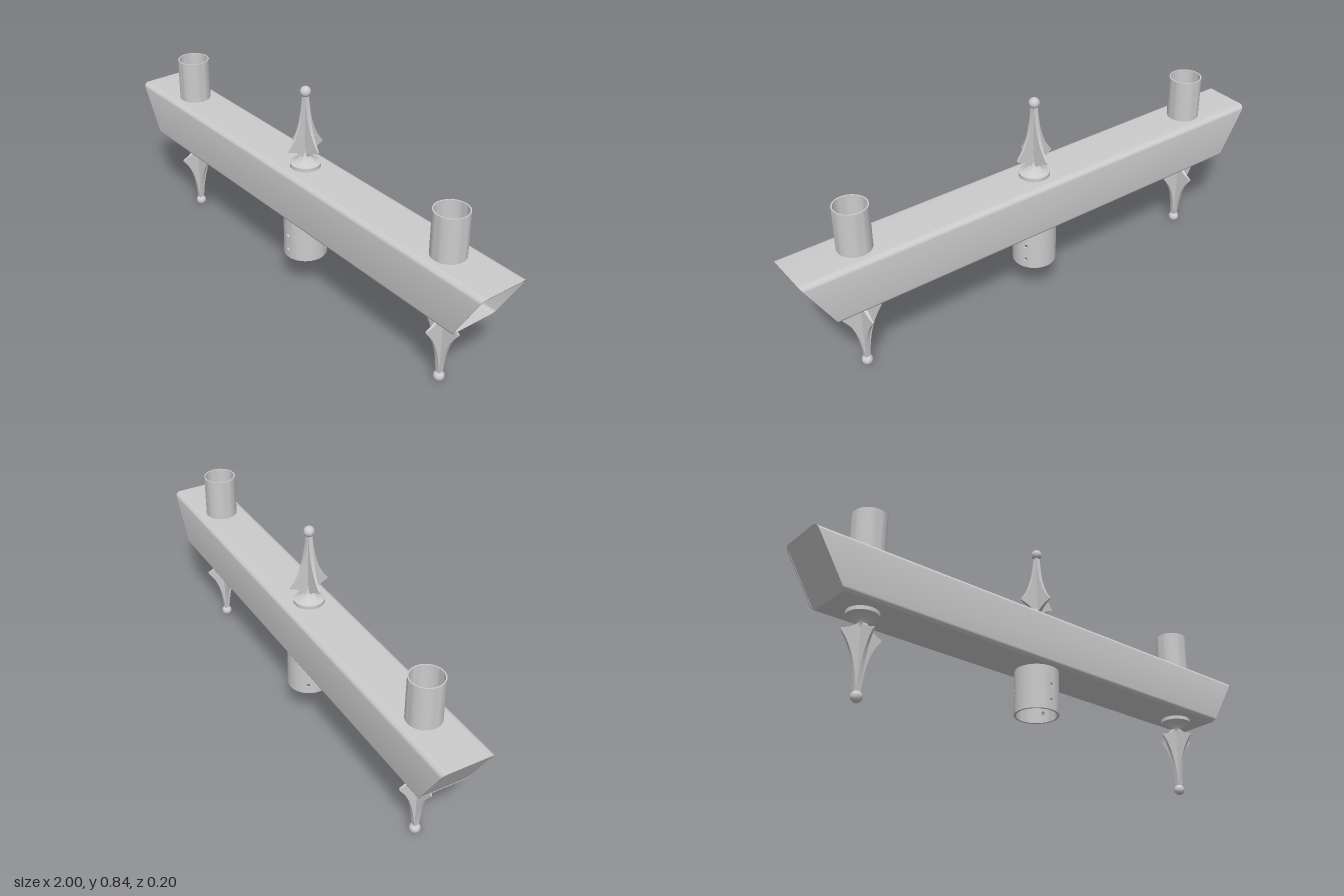
import * as THREE from 'three';
import { toCreasedNormals, mergeGeometries } from 'three/addons/utils/BufferGeometryUtils.js';

const material = new THREE.MeshStandardMaterial({ color: 0xcccccc, side: THREE.DoubleSide });
const TOP = 0.52, BOTTOM = 0.318;

function part(name, geometry, crease = 0.6) {
  const mesh = new THREE.Mesh(toCreasedNormals(geometry, crease), material);
  mesh.name = name;
  return mesh;
}

// Rounded square outline centred on the origin
function roundedSquare(half, r, Type) {
  const s = new Type(), c = half - r, q = Math.PI / 2;
  s.absarc(c, c, r, 0, q);
  s.absarc(-c, c, r, q, 2 * q);
  s.absarc(-c, -c, r, 2 * q, 3 * q);
  s.absarc(c, -c, r, 3 * q, 4 * q);
  s.closePath();
  return s;
}

// Extrude along x, then slant the ends so the underside is shorter
function slantedExtrude(shape, x0, length) {
  const g = new THREE.ExtrudeGeometry(shape, { depth: length, bevelEnabled: false, curveSegments: 6 });
  g.rotateY(Math.PI / 2).translate(x0, (TOP + BOTTOM) / 2, 0);
  const p = g.attributes.position;
  for (let i = 0; i < p.count; i++) {
    p.setX(i, p.getX(i) - Math.sign(p.getX(i)) * (TOP - p.getY(i)) * 0.594);
  }
  g.computeVertexNormals();
  return g;
}

// Closed pipe-wall profile, turned through all or part of a circle
function pipeWall(r, wall, y0, y1, segments, start = 0, sweep = Math.PI * 2) {
  const profile = [[r, y0], [r, y1], [r - wall, y1], [r - wall, y0], [r, y0]];
  return new THREE.LatheGeometry(profile.map(p => new THREE.Vector2(...p)), segments, start, sweep);
}

// Pipe with two screw holes in each of three narrow panels
function drilledPipe(r, wall, y0, y1) {
  const pieces = [], panel = Math.PI / 12, third = Math.PI * 2 / 3;
  for (let k = 0; k < 3; k++) {
    pieces.push(pipeWall(r, wall, y0, y1, 14, k * third + panel / 2, third - panel).toNonIndexed());
    const w = r * panel / 2;
    const shape = new THREE.Shape([[-w, y0], [w, y0], [w, y1], [-w, y1]].map(p => new THREE.Vector2(...p)));
    for (const y of [0.185, 0.245]) {
      shape.holes.push(new THREE.Path().absarc(0, y, 0.0075, 0, Math.PI * 2, true));
    }
    const g = new THREE.ExtrudeGeometry(shape, { depth: wall, bevelEnabled: false, curveSegments: 10 });
    const p = g.attributes.position;
    for (let i = 0; i < p.count; i++) {
      const a = p.getX(i) / r + k * third, d = r - wall + p.getZ(i);
      p.setXYZ(i, d * Math.sin(a), p.getY(i), d * Math.cos(a));
    }
    g.computeVertexNormals();
    pieces.push(g);
  }
  return mergeGeometries(pieces);
}

// One blade of the finial, thick at the core and thin at its outer edge
function bladeGeometry() {
  const s = new THREE.Shape();
  s.moveTo(0, 0.043);
  s.lineTo(0.018, 0.043);
  s.quadraticCurveTo(0.04, 0.066, 0.074, 0.075);
  s.quadraticCurveTo(0.079, 0.08, 0.074, 0.086);
  s.bezierCurveTo(0.034, 0.133, 0.018, 0.19, 0.009, 0.285);
  s.lineTo(0, 0.285);
  s.closePath();
  const g = new THREE.ExtrudeGeometry(s, { depth: 2, bevelEnabled: false, curveSegments: 10 });
  const p = g.attributes.position;
  for (let i = 0; i < p.count; i++) {
    const x = p.getX(i);
    p.setZ(i, (p.getZ(i) - 1) * (0.009 - 0.0065 * Math.min(1, x / 0.077)));
  }
  g.computeVertexNormals();
  return g;
}

// Finial pointing up from y = 0
function finial(name) {
  const group = new THREE.Group();
  group.name = name;
  const profile = [[0, 0], [0.058, 0], [0.058, 0.014], [0.046, 0.018], [0.034, 0.025], [0.025, 0.034],
    [0.018, 0.045], [0.013, 0.06], [0.01, 0.12], [0.009, 0.285]];
  group.add(part('finialBase', new THREE.LatheGeometry(profile.map(p => new THREE.Vector2(...p)), 32)));
  const blade = bladeGeometry();
  for (let i = 0; i < 4; i++) {
    const mesh = part('finialBlade', blade, 0.4);
    mesh.rotation.y = i * Math.PI / 2;
    group.add(mesh);
  }
  const ball = new THREE.Mesh(new THREE.SphereGeometry(0.0205, 24, 16), material);
  ball.name = 'finialBall';
  ball.position.y = 0.2965;
  group.add(ball);
  return group;
}

export function createModel() {
  const model = new THREE.Group();
  model.name = 'crossarmBracket';

  // Hollow square beam with slanted ends, closed at its right end
  const half = (TOP - BOTTOM) / 2, wall = 0.005;
  const section = roundedSquare(half, 0.02, THREE.Shape);
  section.holes.push(roundedSquare(half - wall, 0.016, THREE.Path));
  model.add(part('beam', slantedExtrude(section, -1, 2)));
  model.add(part('endPlate', slantedExtrude(roundedSquare(half - wall, 0.016, THREE.Shape), -0.998, 0.004)));

  // Open sockets above and finials below, near both ends
  for (const side of [1, -1]) {
    const label = side > 0 ? 'left' : 'right';
    const socket = part(label + 'Socket', pipeWall(0.0625, 0.005, TOP - 0.003, 0.688, 40));
    socket.position.x = side * 0.75;
    const drop = finial(label + 'Finial');
    drop.rotation.x = Math.PI;
    drop.position.set(side * 0.75, BOTTOM, 0);
    model.add(socket, drop);
  }

  // Centre finial on top and drilled mounting pipe underneath
  const centre = finial('centreFinial');
  centre.position.y = TOP;
  model.add(centre);
  model.add(part('mountingPipe', drilledPipe(0.083, 0.008, 0.148, BOTTOM + 0.003)));
  return model;
}
